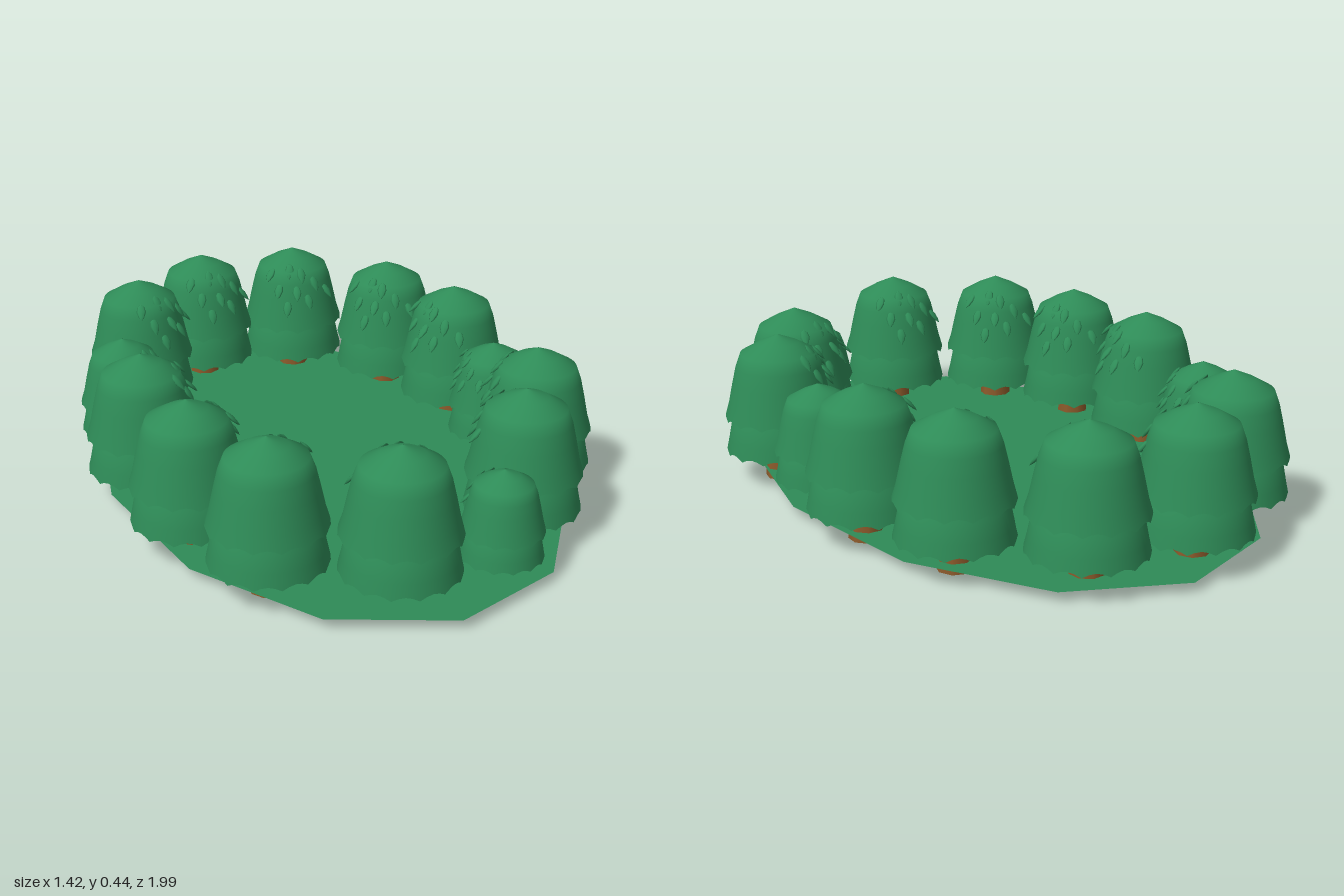
import * as THREE from 'three';

const GROUND_Y = 0.03;
const green = new THREE.MeshStandardMaterial({ color: 0x2e8b57, side: THREE.DoubleSide });
green.name = 'foliage green';
const brown = new THREE.MeshStandardMaterial({ color: 0x8b5a2b, side: THREE.DoubleSide });
brown.name = 'bark brown';

// Lathed foliage tier whose lowest ring is cut into pointed scallops
function tierGeometry(profile, scallops = 14) {
  const geo = new THREE.LatheGeometry(profile.map(([r, y]) => new THREE.Vector2(r, y)), scallops * 4);
  const pos = geo.attributes.position;
  const rimY = profile[0][1];
  for (let i = 0; i < pos.count; i++) {
    if (Math.abs(pos.getY(i) - rimY) > 1e-5) continue;
    const a = Math.atan2(pos.getX(i), pos.getZ(i));
    pos.setY(i, rimY + 0.013 * Math.abs(Math.sin(a * scallops / 2)));
  }
  return geo;
}

// Heights are measured from the ground plane
const upperTier = tierGeometry([[0.165, 0.16], [0.153, 0.21], [0.14, 0.27], [0.128, 0.32], [0.113, 0.36], [0.06, 0.39], [0.001, 0.415]]);
const lowerTier = tierGeometry([[0.165, 0.055], [0.157, 0.1], [0.147, 0.15], [0.125, 0.2]]);
const trunkGeo = new THREE.CylinderGeometry(0.037, 0.053, 0.2, 8, 1, true).translate(0, 0.07, 0);

// Pointed, flattened leaf hanging down from its root
const leafGeo = new THREE.LatheGeometry(
  [[0, -0.058], [0.009, -0.046], [0.015, -0.028], [0.011, -0.01], [0, 0]].map(([r, y]) => new THREE.Vector2(r, y)), 8
).scale(1, 1, 0.4);

// Leaves: azimuth from the inward direction, height, root radius, outward tilt
const leaves = [
  [-0.75, 0.37, 0.105, 0.75], [-0.2, 0.385, 0.085, 0.7], [0.15, 0.375, 0.1, 0.7],
  [0.5, 0.345, 0.116, 0.6], [-0.45, 0.325, 0.122, 0.6], [0, 0.32, 0.125, 0.75],
  [0.28, 0.29, 0.132, 0.6], [-0.22, 0.27, 0.136, 0.55], [0.85, 0.31, 0.126, 0.7],
];

function makeTree(x, z, s) {
  const tree = new THREE.Group();
  tree.name = 'tree';
  const add = (geo, mat, name) => {
    const mesh = new THREE.Mesh(geo, mat);
    mesh.name = name;
    tree.add(mesh);
    return mesh;
  };
  add(trunkGeo, brown, 'trunk');
  add(lowerTier, green, 'lowerFoliage');
  add(upperTier, green, 'upperFoliage');
  for (const [az, y, r, tilt] of leaves) {
    const leaf = add(leafGeo, green, 'leaf');
    leaf.position.set(r * Math.sin(az), y, r * Math.cos(az));
    leaf.rotation.set(-tilt, az, 0, 'YXZ');
  }
  tree.position.set(x, GROUND_Y, z);
  tree.rotation.y = Math.atan2(-x, -z); // leafy side faces the clearing
  tree.scale.setScalar(s);
  return tree;
}

export function createModel() {
  const model = new THREE.Group();
  model.name = 'forestClearing';

  // Flat twelve-sided oval of grass
  const ground = new THREE.Mesh(new THREE.CircleGeometry(1, 12).rotateX(-Math.PI / 2).scale(0.66, 1, 0.995), green);
  ground.name = 'ground';
  ground.position.y = GROUND_Y;
  model.add(ground);

  // Ring of trees: x, z, size
  const trees = [
    [-0.12, -0.83, 1], [0.195, -0.795, 1], [0.44, -0.54, 1], [0.545, -0.235, 1],
    [0.54, 0.065, 0.8], [0.545, 0.33, 1], [0.375, 0.585, 1], [0.21, 0.785, 0.7],
    [-0.085, 0.79, 1], [-0.39, 0.62, 1], [-0.515, 0.325, 1], [-0.545, -0.035, 1],
    [-0.52, -0.355, 0.82], [-0.385, -0.655, 1],
  ];
  for (const t of trees) model.add(makeTree(...t));
  return model;
}
